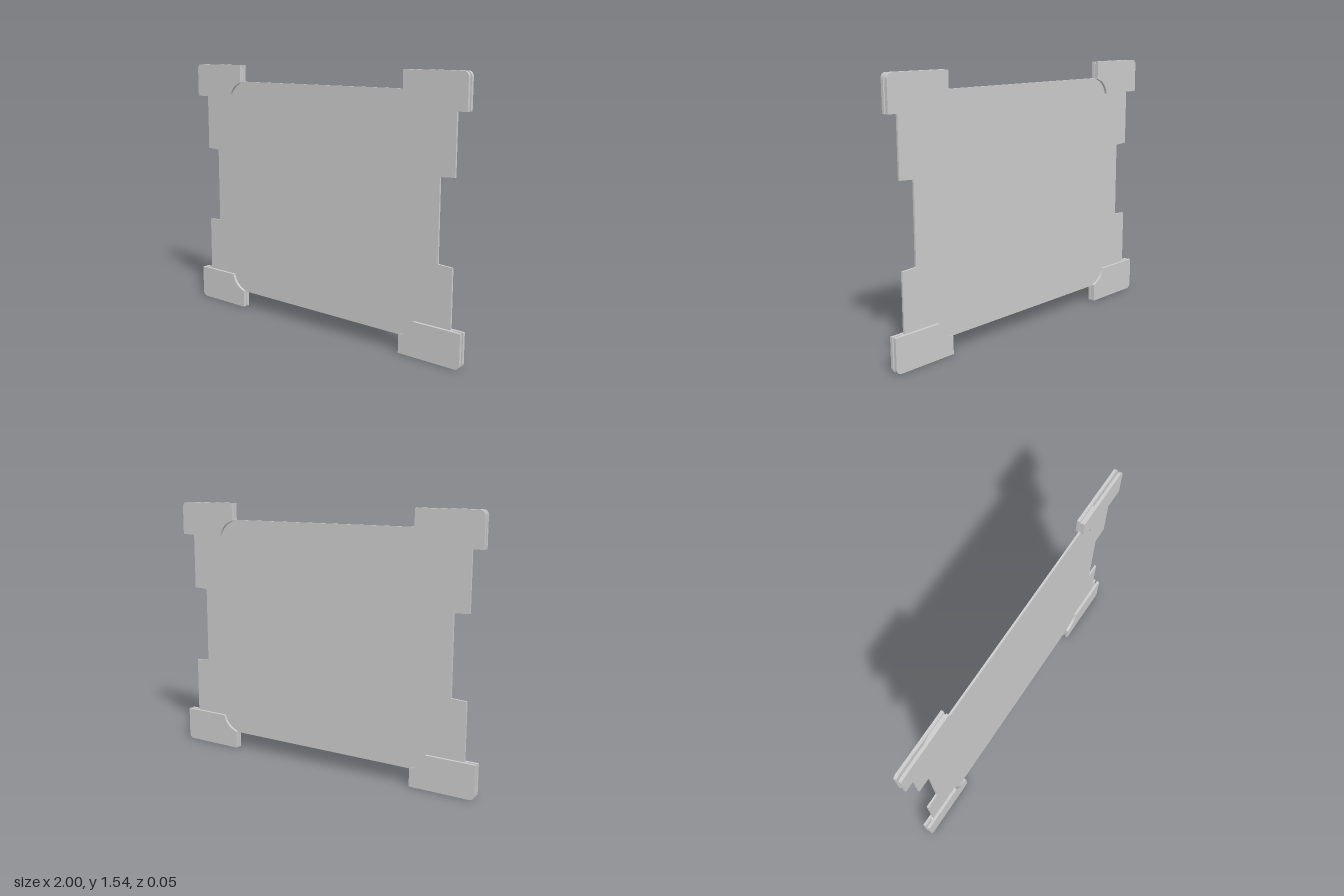
import * as THREE from 'three';

const MID = 0.77; // height of the horizontal mirror line
const HALF = 0.006; // half thickness of the panel
const COVER = 0.023; // outer face of the corner covers

function slab(name, shape, z0, z1, material) {
  const geometry = new THREE.ExtrudeGeometry(shape, {
    depth: z1 - z0, bevelEnabled: false, curveSegments: 8,
  });
  geometry.translate(0, 0, z0);
  const mesh = new THREE.Mesh(geometry, material);
  mesh.name = name;
  return mesh;
}

// Upper-left cover outline, relative to the mirror line, with a concave inner corner
function coverPoints() {
  const s = new THREE.Shape();
  const r = 0.03;
  s.moveTo(0.705, 0.57);
  s.lineTo(1, 0.57);
  s.lineTo(1, 0.77 - r);
  s.absarc(1 - r, 0.77 - r, r, 0, Math.PI / 2, false);
  s.lineTo(0.61, 0.77);
  s.lineTo(0.61, 0.665);
  s.quadraticCurveTo(0.69, 0.64, 0.705, 0.57);
  return s.getPoints(8);
}

export function createModel() {
  const group = new THREE.Group();
  const material = new THREE.MeshStandardMaterial({ color: 0xcccccc });

  // Panel: one quarter of the outline, with side notch and hidden corner tab
  const quarter = [
    [0.84, 0.23], [0.93, 0.235], [0.93, 0.57], [0.945, 0.575],
    [0.945, 0.6], [0.74, 0.755], [0.615, 0.755], [0.615, 0.67],
  ];
  const mirrored = (sx, sy) => {
    const pts = quarter.map(([x, y]) => new THREE.Vector2(x * sx, MID + y * sy));
    return sx * sy < 0 ? pts.reverse() : pts;
  };
  const outline = [
    ...mirrored(1, 1), ...mirrored(-1, 1), ...mirrored(-1, -1), ...mirrored(1, -1),
  ];
  group.add(slab('panel', new THREE.Shape(outline), -HALF, HALF, material));

  // Corner covers: a front and a back plate on each corner
  for (const sx of [-1, 1]) {
    for (const sy of [-1, 1]) {
      const corner = new THREE.Group();
      corner.name = `${sy > 0 ? 'upper' : 'lower'}${sx > 0 ? 'Left' : 'Right'}Corner`;
      const pts = coverPoints().map((p) => new THREE.Vector2(p.x * sx, MID + p.y * sy));
      const shape = new THREE.Shape(pts);
      corner.add(slab('frontCover', shape, HALF, COVER, material));
      corner.add(slab('backCover', shape, -COVER, -HALF, material));
      group.add(corner);
    }
  }
  return group;
}
